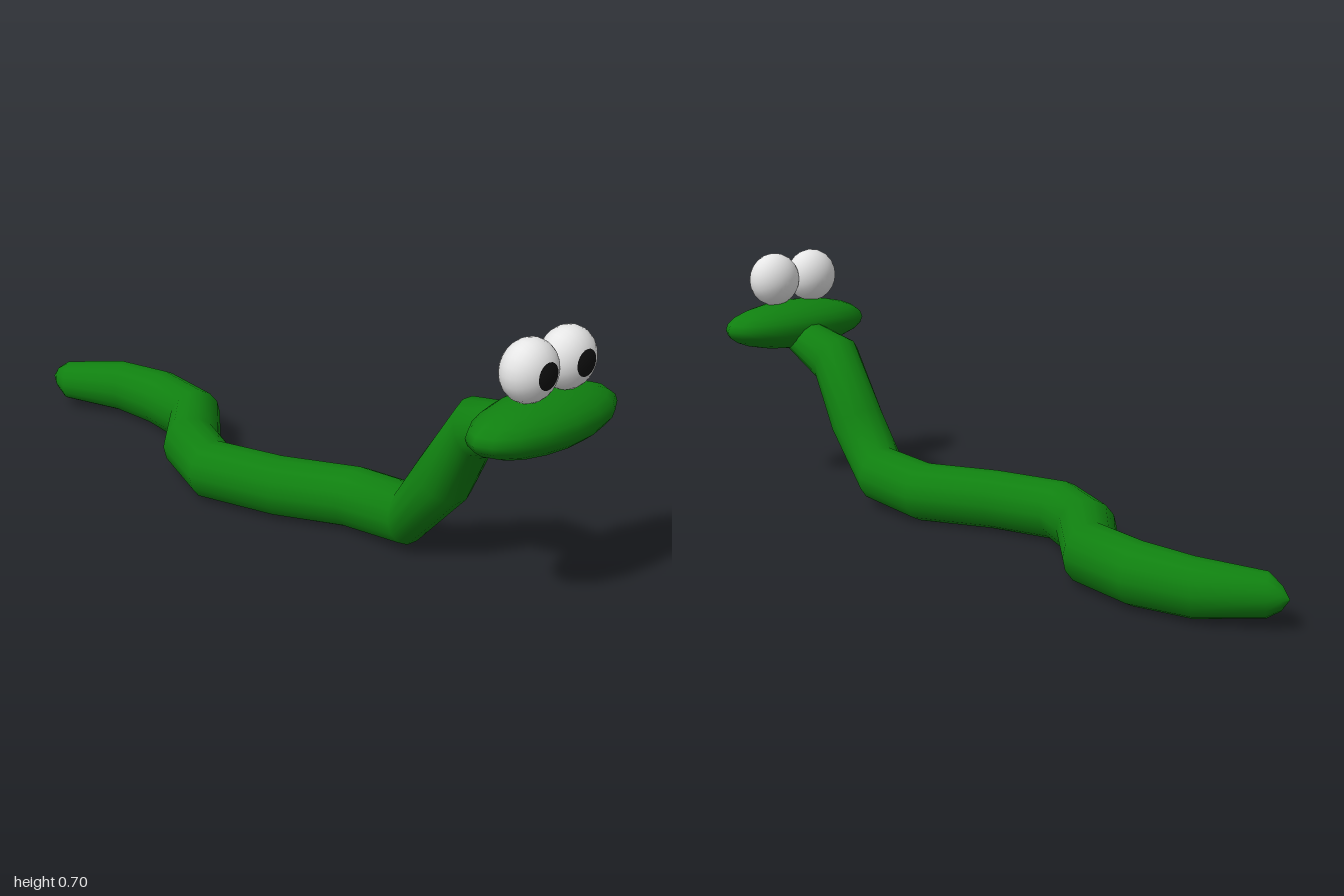
import * as THREE from 'three';

const green = new THREE.MeshStandardMaterial({ name: 'wormGreen', color: 0x108010 });
const white = new THREE.MeshStandardMaterial({ name: 'eyeWhite', color: 0xe6e6e6 });
const black = new THREE.MeshStandardMaterial({ name: 'pupilBlack', color: 0x101010 });

// Cross-sections from tail to neck: x, y, z, radius, yaw, pitch (degrees)
const RINGS = [
  [-0.05, 0.083, -1.0, 0, 30, 0],
  [-0.045, 0.083, -0.98, 0.03, 33, 0],
  [-0.04, 0.083, -0.94, 0.056, 36, 0],
  [0.05, 0.083, -0.79, 0.075, 36, 0],
  [0.075, 0.083, -0.63, 0.081, 8, 0],
  [0.05, 0.083, -0.44, 0.081, -15, 0],
  [-0.093, 0.083, -0.278, 0.081, -34, 0],
  [-0.16, 0.083, -0.11, 0.081, 0, 0],
  [-0.098, 0.083, 0.093, 0.081, 26, 0],
  [0, 0.083, 0.28, 0.082, 7, 0],
  [0.005, 0.098, 0.473, 0.08, 0, 9],
  [0.004, 0.235, 0.586, 0.078, 0, 55],
  [0.003, 0.4, 0.685, 0.076, 0, 23],
  [0, 0.452, 0.87, 0.055, 0, 10],
];

// Skin the cross-sections with one smooth surface
function bodyGeometry(sides = 14) {
  const pos = [], index = [];
  for (const [x, y, z, r, yawDeg, pitchDeg] of RINGS) {
    const yaw = THREE.MathUtils.degToRad(yawDeg), pitch = THREE.MathUtils.degToRad(pitchDeg);
    const side = new THREE.Vector3(Math.cos(yaw), 0, -Math.sin(yaw));
    const up = new THREE.Vector3(-Math.sin(yaw) * Math.sin(pitch), Math.cos(pitch), -Math.cos(yaw) * Math.sin(pitch));
    for (let j = 0; j < sides; j++) {
      const a = (j / sides) * Math.PI * 2;
      const p = new THREE.Vector3(x, y, z).addScaledVector(side, r * Math.cos(a)).addScaledVector(up, r * Math.sin(a));
      pos.push(p.x, p.y, p.z);
    }
  }
  for (let i = 0; i < RINGS.length - 1; i++) {
    for (let j = 0; j < sides; j++) {
      const k = (j + 1) % sides;
      const a = i * sides + j, b = i * sides + k, c = a + sides, d = b + sides;
      index.push(a, b, c, b, d, c);
    }
  }
  const g = new THREE.BufferGeometry();
  g.setAttribute('position', new THREE.Float32BufferAttribute(pos, 3));
  g.setIndex(index);
  g.computeVertexNormals();
  return g;
}

function mesh(name, geometry, material) {
  const m = new THREE.Mesh(geometry, material);
  m.name = name;
  return m;
}

// Part of a sphere with its pole facing +z
function eyePart(start, length) {
  return new THREE.SphereGeometry(1, 20, 14, 0, Math.PI * 2, start, length).rotateX(Math.PI / 2);
}

export function createModel() {
  const model = new THREE.Group();
  model.name = 'worm';

  model.add(mesh('body', bodyGeometry(), green));

  // Wide flattened head
  const head = mesh('head', new THREE.SphereGeometry(1, 16, 12), green);
  head.scale.set(0.241, 0.071, 0.106);
  head.position.set(0, 0.483, 0.893);
  model.add(head);

  // Eyes, each with a pupil cap at the front
  const cap = 0.445;
  for (const s of [-1, 1]) {
    const eye = new THREE.Group();
    eye.name = s > 0 ? 'leftEye' : 'rightEye';
    eye.add(mesh('eyeball', eyePart(cap, Math.PI - cap), white));
    eye.add(mesh('pupil', eyePart(0, cap), black));
    eye.scale.set(0.078, 0.078, 0.063);
    eye.position.set(s * 0.067, 0.622, 0.9);
    model.add(eye);
  }
  return model;
}
